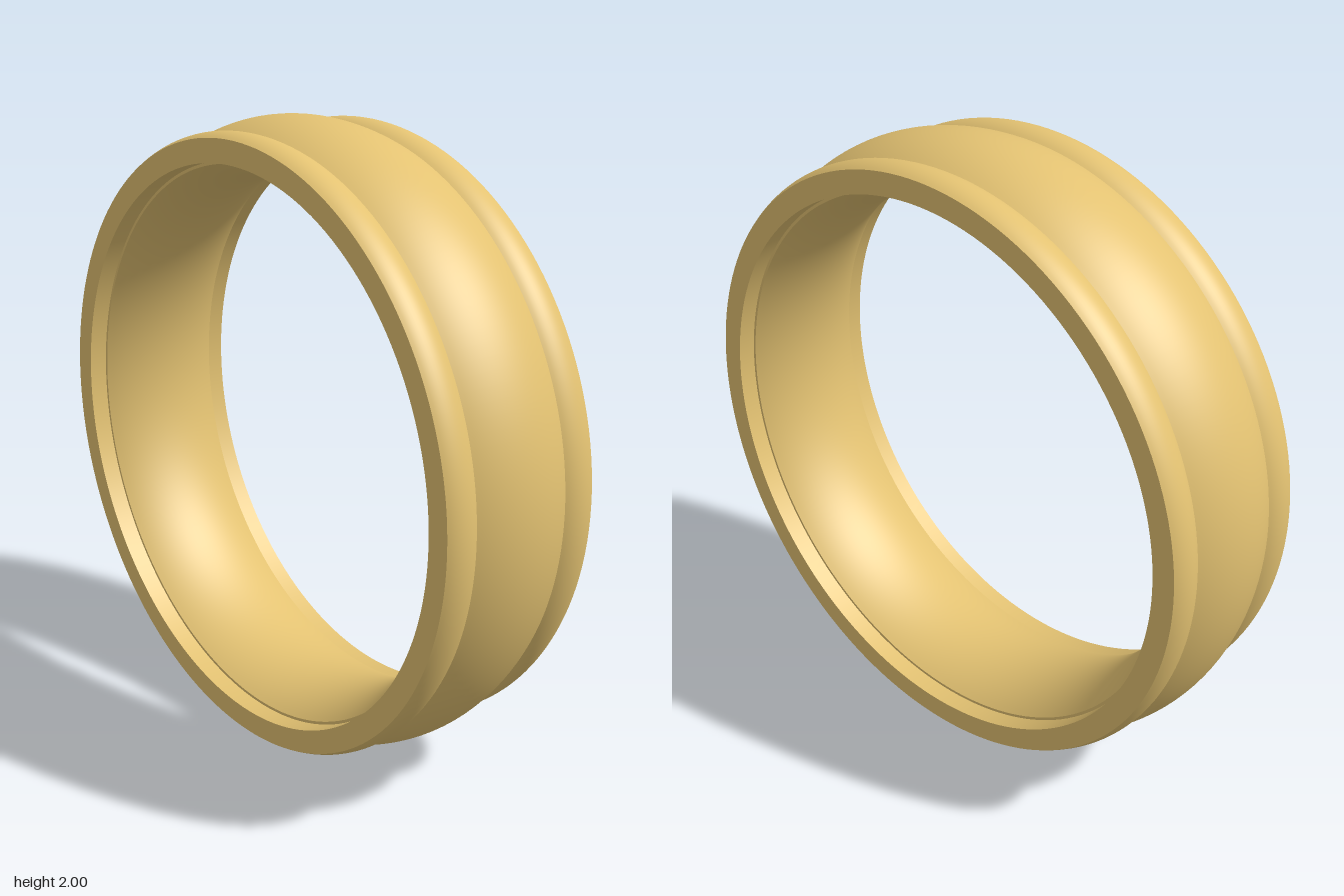
import * as THREE from 'three';

const HALF_WIDTH = 0.273, SEAM = 0.167, BORE_EDGE = 0.213;
const SEAM_R = 0.957, RIM_R = 0.883, BORE_R = 0.874;

// Circular arc through (r0, z0), (peak, middle) and (r0, z1), as profile points
function arc(r0, z0, z1, peak, steps) {
  const half = (z1 - z0) / 2, mid = (z0 + z1) / 2, rise = peak - r0;
  const R = (half * half + rise * rise) / (2 * Math.abs(rise));
  const sign = Math.sign(rise), centre = peak - sign * R;
  const sweep = Math.asin(half / R);
  return Array.from({ length: steps + 1 }, (_, i) => {
    const a = sweep * (2 * i / steps - 1);
    return [centre + sign * R * Math.cos(a), mid + R * Math.sin(a)];
  });
}

export function createModel() {
  const ring = new THREE.Group();
  ring.name = 'ring';
  const gold = new THREE.MeshStandardMaterial({ color: 0xe3c272 });

  // Profile points are [radius, z]; outer surfaces run towards +z
  const turn = (name, profile) => {
    const points = profile.map(([r, z]) => new THREE.Vector2(r, z));
    const geometry = new THREE.LatheGeometry(points, 160);
    geometry.rotateX(Math.PI / 2);
    const mesh = new THREE.Mesh(geometry, gold);
    mesh.name = name;
    mesh.position.y = 1;
    ring.add(mesh);
  };
  const mirrored = (name, profile) => {
    turn('front' + name, profile);
    turn('back' + name, profile.map(([r, z]) => [r, -z]).reverse());
  };

  // Domed centre band, flanked by a narrow rounded bead on each side
  turn('centreBand', arc(SEAM_R, -SEAM, SEAM, 1, 24));
  mirrored('Bead', arc(SEAM_R, SEAM, HALF_WIDTH, 0.972, 12));

  // Flat end faces and the shallow recess inside each one
  mirrored('EndFace', [[SEAM_R, HALF_WIDTH], [RIM_R, HALF_WIDTH]]);
  mirrored('RecessWall', [[RIM_R, HALF_WIDTH], [RIM_R, BORE_EDGE]]);
  mirrored('RecessStep', [[RIM_R, BORE_EDGE], [BORE_R, BORE_EDGE]]);

  // Inner surface, curving inwards to its narrowest in the middle
  turn('bore', arc(BORE_R, -BORE_EDGE, BORE_EDGE, 0.814, 24).reverse());

  return ring;
}
